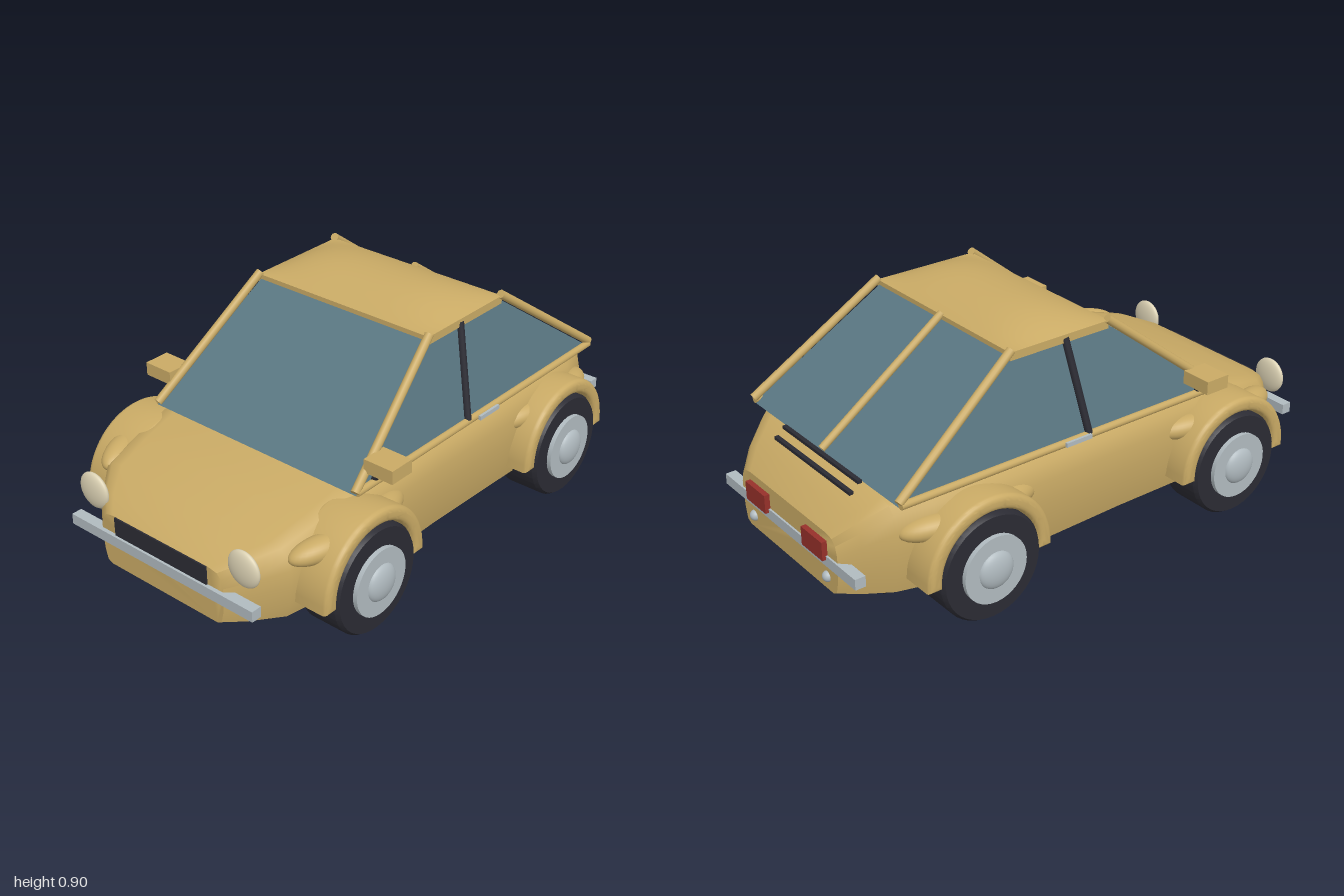
import * as THREE from 'three';
import { toCreasedNormals } from 'three/addons/utils/BufferGeometryUtils.js';

const mat = (name, color) => new THREE.MeshStandardMaterial({ name, color });

export function createModel() {
  const car = new THREE.Group();
  car.name = 'car';
  const paint = mat('gold paint', 0xc9aa65);
  const glass = mat('blue grey glass', 0x5b7883);
  const dark = mat('dark rubber', 0x2b2b33);
  const under = mat('black underside', 0x1b1b1e);
  const silver = mat('silver metal', 0xb0babf);
  const cream = mat('cream lamp', 0xdcd2b4);
  const red = mat('red lamp', 0x96302a);

  function add(name, geo, material, x = 0, y = 0, z = 0, parent = car) {
    const m = new THREE.Mesh(geo, material);
    m.name = name;
    m.position.set(x, y, z);
    parent.add(m);
    return m;
  }
  const box = (name, w, h, d, material, x, y, z) =>
    add(name, new THREE.BoxGeometry(w, h, d), material, x, y, z);
  // Round bar between two points
  function bar(name, a, b, r, material) {
    const p = new THREE.Vector3(...a), q = new THREE.Vector3(...b);
    const m = add(name, new THREE.CylinderGeometry(r, r, p.distanceTo(q), 12), material);
    m.position.copy(p).add(q).multiplyScalar(0.5);
    m.quaternion.setFromUnitVectors(new THREE.Vector3(0, 1, 0), q.sub(p).normalize());
    return m;
  }
  function ellipsoid(name, rx, ry, rz, material, x, y, z) {
    const m = add(name, new THREE.SphereGeometry(1, 28, 18), material, x, y, z);
    m.scale.set(rx, ry, rz);
    return m;
  }

  // Body shell: cross-sections [z, half width, top y] lofted from tail to nose
  const sections = [
    [-0.98, 0.31, 0.34], [-0.92, 0.37, 0.4], [-0.83, 0.435, 0.465], [-0.7, 0.475, 0.485],
    [-0.5, 0.495, 0.493], [-0.25, 0.485, 0.485], [0.1, 0.475, 0.48], [0.54, 0.475, 0.475],
    [0.7, 0.46, 0.435], [0.83, 0.435, 0.4], [0.93, 0.35, 0.36], [0.985, 0.285, 0.325],
  ];
  const half = [[0.88, 0], [0.95, 0.05], [0.985, 0.25], [1, 0.5], [1, 0.72], [0.97, 0.88], [0.91, 0.97], [0.8, 1]];
  const ring = [...half, ...half.map(([x, y]) => [-x, y]).reverse()];
  const n = ring.length, pos = [], idx = [], bottom = 0.12;
  for (const [z, w, top] of sections)
    for (const [x, y] of ring) pos.push(x * w, bottom + y * (top - bottom), z);
  for (let i = 0; i < sections.length - 1; i++)
    for (let j = 0; j < n; j++) {
      const a = i * n + j, b = i * n + (j + 1) % n;
      idx.push(a, b, a + n, b, b + n, a + n);
    }
  const last = (sections.length - 1) * n;
  for (let j = 1; j < n - 1; j++) idx.push(0, j + 1, j, last, last + j, last + j + 1);
  const shell = new THREE.BufferGeometry();
  shell.setAttribute('position', new THREE.Float32BufferAttribute(pos, 3));
  shell.setIndex(idx);
  add('bodyShell', toCreasedNormals(shell, 0.7), paint);
  box('underTray', 0.68, 0.04, 1.67, under, 0, 0.11, 0.005);

  // Cabin glass: tapered block
  const cabin = new THREE.BoxGeometry(2, 2, 2);
  const cp = cabin.attributes.position;
  for (let i = 0; i < cp.count; i++) {
    const sx = cp.getX(i), up = cp.getY(i) > 0, front = cp.getZ(i) > 0;
    cp.setXYZ(i, sx * (up ? 0.378 : 0.463), up ? 0.835 : 0.475,
      front ? (up ? 0.07 : 0.545) : (up ? -0.33 : -0.83));
  }
  cabin.computeVertexNormals();
  add('cabinGlass', cabin, glass);

  // Roof: domed slab
  const roof = new THREE.BoxGeometry(0.78, 0.03, 0.42, 20, 1, 20);
  const rp = roof.attributes.position;
  for (let i = 0; i < rp.count; i++) {
    const u = rp.getX(i) / 0.39, v = rp.getZ(i) / 0.21;
    if (rp.getY(i) > 0) rp.setY(i, 0.015 + 0.055 * (1 - v * v) * (1 - u ** 4));
  }
  add('roof', toCreasedNormals(roof, 0.7), paint, 0, 0.83, -0.13);
  bar('rearWindowRib', [0, 0.49, -0.835], [0, 0.848, -0.335], 0.014, paint);

  // Wheel shapes
  const tyre = toCreasedNormals(new THREE.LatheGeometry(
    [[0, -0.085], [0.19, -0.085], [0.2, -0.07], [0.2, 0.07], [0.19, 0.085], [0, 0.085]]
      .map(p => new THREE.Vector2(...p)), 40), 0.6).rotateZ(Math.PI / 2);
  const hub = new THREE.CylinderGeometry(0.125, 0.125, 0.02, 36).rotateZ(Math.PI / 2);
  // Arch over a wheel
  const archShape = new THREE.Shape();
  archShape.moveTo(0.23, 0.01);
  archShape.absarc(0, 0.01, 0.23, 0, Math.PI, false);
  archShape.lineTo(-0.215, 0.01);
  archShape.absarc(0, 0.01, 0.215, Math.PI, 0, true);
  const arch = toCreasedNormals(new THREE.ExtrudeGeometry(archShape, {
    depth: 0.15, bevelEnabled: true, bevelSize: 0.02, bevelThickness: 0.02, bevelSegments: 4, curveSegments: 28,
  }).translate(0, 0, -0.075).rotateY(Math.PI / 2), 0.7);

  for (const s of [1, -1]) {
    const side = s > 0 ? 'left' : 'right';
    // Wheels, arches and fender blisters
    for (const [end, z] of [['Front', 0.56], ['Rear', -0.55]]) {
      add(side + end + 'Tyre', tyre, dark, s * 0.485, 0.2, z);
      add(side + end + 'Rim', hub, silver, s * 0.577, 0.2, z);
      ellipsoid(side + end + 'HubCap', 0.03, 0.07, 0.07, silver, s * 0.582, 0.2, z);
      add(side + end + 'Arch', arch, paint, s * 0.475, 0.2, z);
      for (const d of [1, -1]) {
        const b = ellipsoid(side + end + 'FenderBlister', 0.05, 0.042, 0.11, paint, s * 0.465, 0.37, z + d * 0.17);
        b.rotation.set(d * 0.12, -s * d * 0.35, 0);
      }
    }
    // Pillars and belt line
    bar(side + 'FrontPillar', [s * 0.46, 0.485, 0.545], [s * 0.387, 0.852, 0.075], 0.016, paint);
    bar(side + 'RearPillar', [s * 0.46, 0.495, -0.835], [s * 0.387, 0.852, -0.335], 0.016, paint);
    bar(side + 'DoorPillar', [s * 0.463, 0.49, -0.06], [s * 0.382, 0.83, -0.105], 0.014, dark);
    bar(side + 'BeltTrim', [s * 0.463, 0.484, 0.54], [s * 0.463, 0.486, -0.83], 0.014, paint);
    box(side + 'DoorHandle', 0.01, 0.016, 0.11, silver, s * 0.5, 0.502, -0.135);
    // Mirrors
    box(side + 'Mirror', 0.12, 0.05, 0.1, paint, s * 0.51, 0.56, 0.44);
    bar(side + 'MirrorStem', [s * 0.455, 0.49, 0.45], [s * 0.5, 0.54, 0.44], 0.012, dark);
    // Lamps and tail pipes
    ellipsoid(side + 'Headlight', 0.068, 0.068, 0.022, cream, s * 0.35, 0.36, 0.952);
    box(side + 'TailLight', 0.13, 0.07, 0.022, red, s * 0.185, 0.275, -0.989);
    ellipsoid(side + 'TailPipe', 0.02, 0.02, 0.02, silver, s * 0.24, 0.17, -0.978);
  }

  // Bumpers, grille and engine vents
  box('frontBumper', 0.85, 0.04, 0.04, silver, 0, 0.235, 0.98);
  box('rearBumper', 0.85, 0.04, 0.04, silver, 0, 0.235, -0.967);
  box('grille', 0.43, 0.07, 0.02, dark, 0, 0.29, 0.981);
  box('upperVent', 0.48, 0.012, 0.016, dark, 0, 0.474, -0.838);
  box('lowerVent', 0.48, 0.012, 0.016, dark, 0, 0.443, -0.872);
  return car;
}
